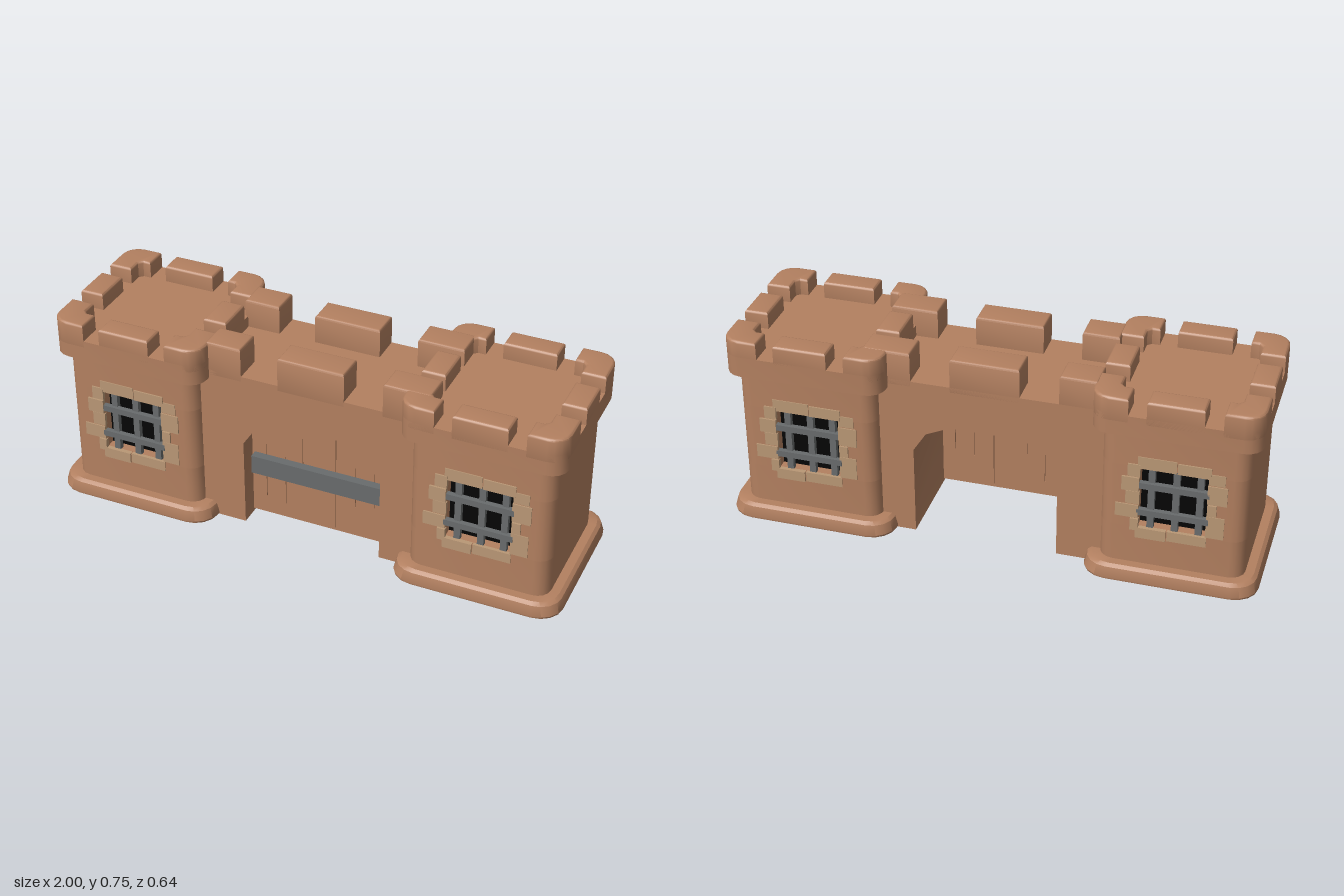
import * as THREE from 'three';
import { toCreasedNormals } from 'three/addons/utils/BufferGeometryUtils.js';

const material = (name, color) => {
  const m = new THREE.MeshStandardMaterial({ color });
  m.name = name;
  return m;
};
const V = (x, y) => new THREE.Vector2(x, y);

function add(parent, name, geometry, mat) {
  const mesh = new THREE.Mesh(geometry, mat);
  mesh.name = name;
  parent.add(mesh);
  return mesh;
}

function box(parent, name, mat, x0, x1, y0, y1, z0, z1) {
  const mesh = add(parent, name, new THREE.BoxGeometry(x1 - x0, y1 - y0, z1 - z0), mat);
  mesh.position.set((x0 + x1) / 2, (y0 + y1) / 2, (z0 + z1) / 2);
  return mesh;
}

// Rounded square corner, quadrant q
function corner(h, r, q, n = 4) {
  const pts = [], start = q * Math.PI / 2;
  const sx = q === 0 || q === 3 ? 1 : -1, sy = q < 2 ? 1 : -1;
  for (let i = 0; i <= n; i++) {
    const a = start + i / n * Math.PI / 2;
    pts.push(V(sx * (h - r) + r * Math.cos(a), sy * (h - r) + r * Math.sin(a)));
  }
  return pts;
}
const roundedSquare = (h, r) => [0, 1, 2, 3].flatMap(q => corner(h, r, q));

// Plan outline raised from y0 to y1, with an optional rounded bevel
function raise(points, y0, y1, bevel = 0) {
  const g = new THREE.ExtrudeGeometry(new THREE.Shape(points), {
    depth: y1 - y0 - 2 * bevel, bevelEnabled: bevel > 0, bevelThickness: bevel,
    bevelSize: bevel, bevelOffset: -bevel, bevelSegments: 3,
  });
  g.rotateX(-Math.PI / 2).translate(0, y0 + bevel, 0);
  return toCreasedNormals(g, 0.6);
}

const rectangle = (x0, x1, z0, z1) => [V(x0, z0), V(x1, z0), V(x1, z1), V(x0, z1)];

// Surface through stacked rounded squares [half, radius, y]
function loft(rings) {
  const pos = [], index = [];
  const count = roundedSquare(1, 0.1).length;
  for (const [h, r, y] of rings) for (const p of roundedSquare(h, r)) pos.push(p.x, y, -p.y);
  for (let k = 0; k < rings.length - 1; k++) {
    for (let i = 0; i < count; i++) {
      const a = k * count + i, b = k * count + (i + 1) % count;
      index.push(a, b, b + count, a, b + count, a + count);
    }
  }
  const g = new THREE.BufferGeometry();
  g.setAttribute('position', new THREE.Float32BufferAttribute(pos, 3));
  g.setIndex(index);
  return toCreasedNormals(g, 0.6);
}

export function createModel() {
  const brown = material('castleBrown', 0xb38060);
  const stone = material('windowStone', 0xba9876);
  const iron = material('iron', 0x696c6d);
  const black = material('windowDark', 0x050505);
  const model = new THREE.Group();
  model.name = 'castleGate';

  const half = 0.265, bodyRadius = 0.055, notch = 0.05, winW = 0.123, winLow = 0.21, winHigh = 0.465;

  // Barred window with a stone surround
  function makeWindow() {
    const win = new THREE.Group();
    win.name = 'window';
    box(win, 'windowDark', black, -winW, winW, winLow, winHigh, half - notch, half - notch + 0.004);
    for (const x of [-0.08, 0.008, 0.093])
      box(win, 'verticalBar', iron, x - 0.012, x + 0.012, winLow, winHigh, 0.238, 0.258);
    for (const y of [0.278, 0.39])
      box(win, 'crossBar', iron, -winW - 0.005, winW + 0.005, y - 0.012, y + 0.012, 0.25, 0.27);
    const stones = [
      [-0.13, 0.008, 0.46, 0.508], [0.012, 0.13, 0.46, 0.503],
      [-0.13, -0.02, 0.17, 0.212], [-0.016, 0.125, 0.172, 0.212],
      [-0.165, -0.12, 0.425, 0.475], [-0.185, -0.122, 0.365, 0.421], [-0.17, -0.12, 0.309, 0.361],
      [-0.205, -0.122, 0.252, 0.305], [-0.15, -0.12, 0.2, 0.248],
      [0.122, 0.18, 0.436, 0.48], [0.12, 0.19, 0.357, 0.432],
      [0.122, 0.155, 0.308, 0.353], [0.12, 0.185, 0.215, 0.304],
    ];
    stones.forEach(([x0, x1, y0, y1], i) =>
      box(win, 'frameStone', stone, x0, x1, y0, y1, 0.255, 0.268 + (i % 3) * 0.002));
    return win;
  }

  function makeTower(name, x) {
    const tower = new THREE.Group();
    tower.name = name;
    tower.position.x = x;
    // Hollow-bottomed plinth
    add(tower, 'plinth', loft([
      [0.25, 0.05, 0.045], [0.268, 0.055, 0.045], [0.278, 0.06, 0.002], [0.318, 0.09, 0.002],
      [0.32, 0.09, 0.01], [0.31, 0.085, 0.048], [0.297, 0.08, 0.058], [0.25, 0.05, 0.058],
    ]), brown);
    // Body in three bands, the middle one notched for the windows
    const plan = roundedSquare(half, bodyRadius);
    const inner = half - notch;
    const notched = [
      ...corner(half, bodyRadius, 0), V(winW, half), V(winW, inner), V(-winW, inner), V(-winW, half),
      ...corner(half, bodyRadius, 1), ...corner(half, bodyRadius, 2),
      V(-winW, -half), V(-winW, -inner), V(winW, -inner), V(winW, -half), ...corner(half, bodyRadius, 3),
    ];
    add(tower, 'lowerBody', raise(plan, 0.043, winLow), brown);
    add(tower, 'middleBody', raise(notched, winLow, winHigh), brown);
    add(tower, 'upperBody', raise(plan, winHigh, 0.61), brown);
    // Overhanging cap with battlements
    add(tower, 'cap', raise(roundedSquare(0.3, 0.065), 0.605, 0.685), brown);
    for (const s of [-1, 1]) {
      const a = s * 0.21, b = s * 0.3;
      const lo = Math.min(a, b), hi = Math.max(a, b);
      add(tower, 'merlon', raise(rectangle(-0.1, 0.1, lo, hi), 0.65, 0.75, 0.01), brown);
      add(tower, 'merlon', raise(rectangle(lo, hi, -0.075, 0.075), 0.65, 0.75, 0.01), brown);
      for (const t of [-1, 1]) {
        const pts = [V(0.3, 0.14), ...corner(0.3, 0.065, 0), V(0.165, 0.3), V(0.165, 0.21),
          V(0.195, 0.21), V(0.21, 0.195), V(0.21, 0.14)].map(p => V(p.x * s, p.y * t));
        if (s * t < 0) pts.reverse();
        add(tower, 'cornerMerlon', raise(pts, 0.65, 0.75, 0.01), brown);
      }
    }
    const front = makeWindow(), back = makeWindow();
    back.rotation.y = Math.PI;
    tower.add(front, back);
    model.add(tower);
  }
  makeTower('leftTower', 0.68);
  makeTower('rightTower', -0.68);

  // Gate wall with an arched passage
  const arch = [V(-0.25, 0.353), V(-0.2, 0.428), V(-0.11, 0.47), V(0.15, 0.47), V(0.242, 0.428), V(0.29, 0.353)];
  const wallShape = new THREE.Shape([
    V(-0.43, 0), V(-0.25, 0), ...arch, V(0.29, 0), V(0.47, 0), V(0.47, 0.64), V(-0.43, 0.64),
  ]);
  const wall = new THREE.ExtrudeGeometry(wallShape, { depth: 0.436, bevelEnabled: false });
  wall.translate(0, 0, -0.218);
  add(model, 'gateWall', toCreasedNormals(wall, 0.7), brown);
  for (const [x0, x1] of [[-0.39, -0.252], [-0.108, 0.148], [0.295, 0.472]])
    for (const [z0, z1] of [[0.105, 0.218], [-0.218, -0.105]])
      add(model, 'wallMerlon', raise(rectangle(x0, x1, z0, z1), 0.61, 0.752, 0.01), brown);

  // Door with narrow cracks on both faces of a solid core
  const doorOutline = [V(-0.25, 0.012), ...arch, V(0.29, 0.012)];
  const cracked = new THREE.Shape(doorOutline);
  const cracks = [[-0.193, 0.085, 0.32], [-0.115, 0.07, 0.285], [-0.045, 0.18, 0.385],
    [0.087, 0.02, 0.455], [0.165, 0.14, 0.315], [0.24, 0.155, 0.31]];
  for (const [x, y0, y1] of cracks)
    cracked.holes.push(new THREE.Path([V(x - 0.0015, y0), V(x + 0.0015, y0), V(x + 0.001, y1), V(x - 0.001, y1)]));
  const layers = [['doorBack', cracked, 0.122], ['doorCore', new THREE.Shape(doorOutline), 0.13], ['doorFront', cracked, 0.138]];
  for (const [name, shape, z] of layers) {
    const layer = new THREE.ExtrudeGeometry(shape, { depth: 0.008, bevelEnabled: false });
    add(model, name, layer.translate(0, 0, z), brown);
  }
  box(model, 'doorBeam', iron, -0.24, 0.287, 0.2, 0.275, 0.146, 0.178);

  return model;
}
